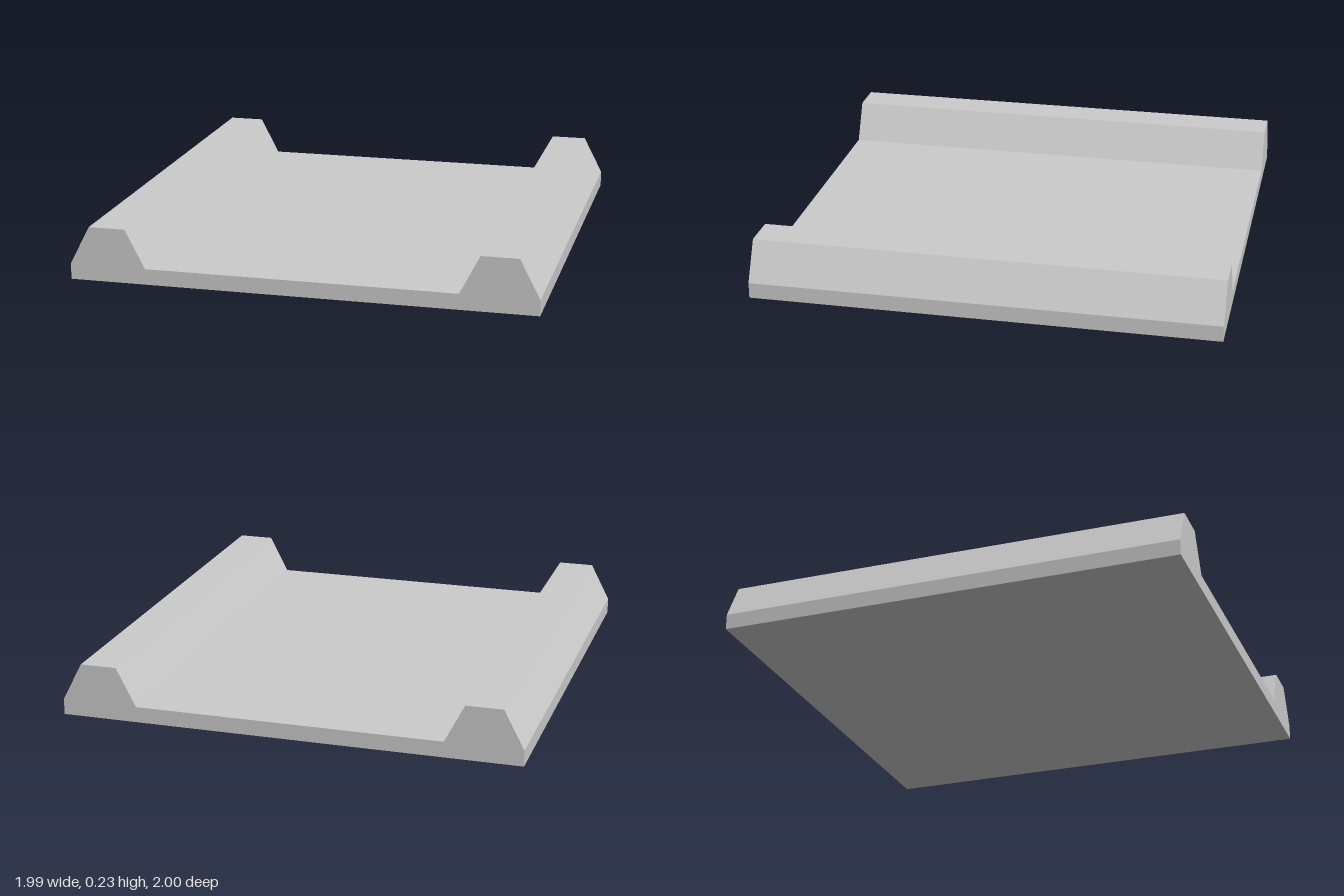
import * as THREE from 'three';

export function createModel() {
  const group = new THREE.Group();
  group.name = 'channelSlab';
  const material = new THREE.MeshStandardMaterial({ color: 0xcccccc, flatShading: true });

  // Right half of the cross-section: floor edge, curb slopes, outer wall
  const half = [[0.664, 0.068], [0.749, 0.233], [0.907, 0.233], [0.993, 0.068], [0.993, 0]];
  const mirrored = half.map(([x, y]) => [-x, y]).reverse();
  const outline = [...mirrored, ...half].map(([x, y]) => new THREE.Vector2(x, y));

  // Flat floor with a raised curb on each side, run along z
  const geometry = new THREE.ExtrudeGeometry(new THREE.Shape(outline), { depth: 2, bevelEnabled: false });
  geometry.translate(0, 0, -1);
  const slab = new THREE.Mesh(geometry, material);
  slab.name = 'floorWithSideCurbs';
  group.add(slab);
  return group;
}
